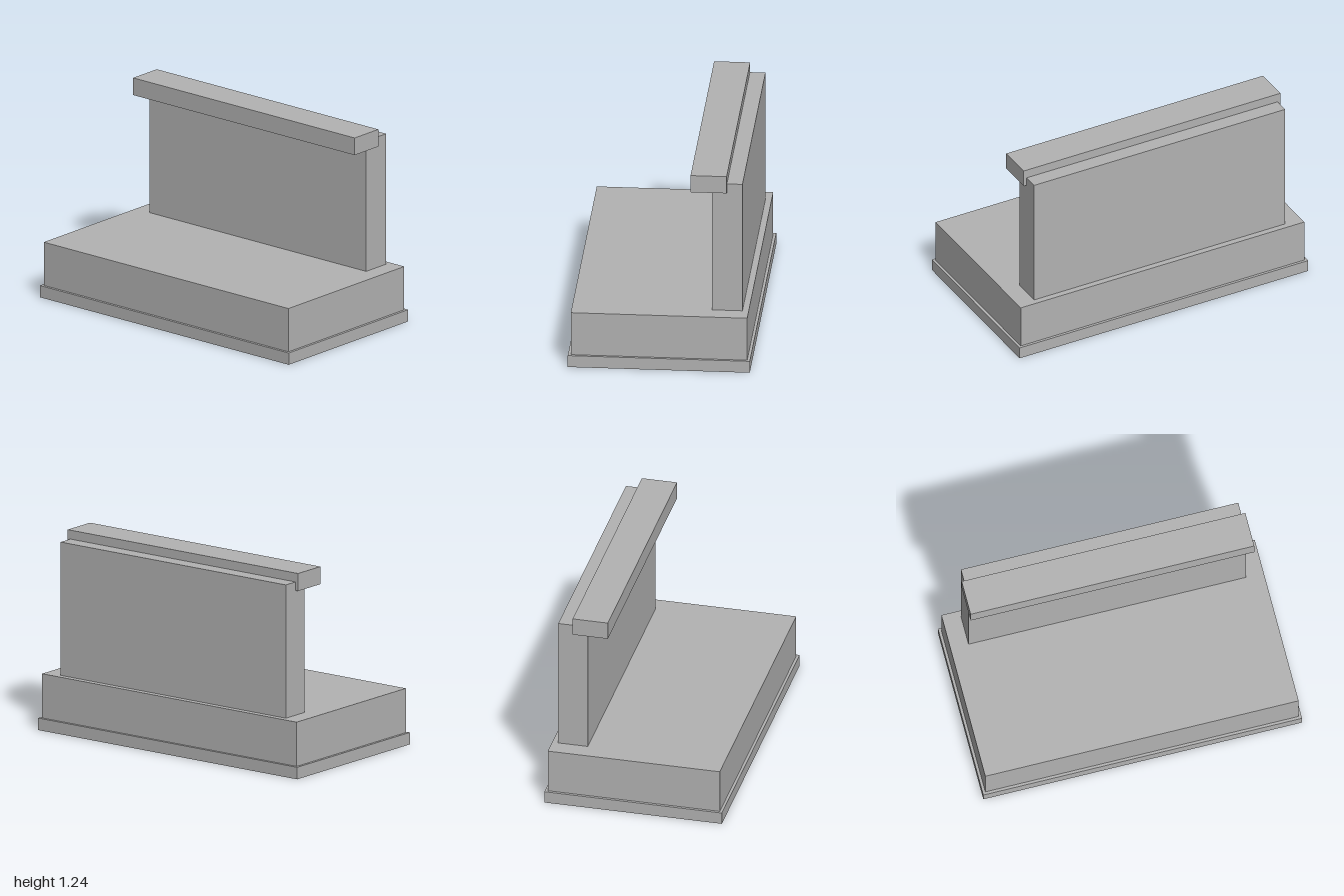
import * as THREE from 'three';

export function createModel() {
  const model = new THREE.Group();
  model.name = 'bench';

  const grey = new THREE.MeshStandardMaterial({ color: 0xb2b2b2 });
  grey.name = 'plain grey';

  // Box given by its half width and its y and z ranges, centred on x = 0
  function addBlock(name, halfWidth, [y0, y1], [z0, z1]) {
    const geometry = new THREE.BoxGeometry(halfWidth * 2, y1 - y0, z1 - z0);
    const mesh = new THREE.Mesh(geometry, grey);
    mesh.name = name;
    mesh.position.set(0, (y0 + y1) / 2, (z0 + z1) / 2);
    model.add(mesh);
  }

  // Plinth and seat block
  addBlock('plinth', 1, [0, 0.075], [-0.555, 0.555]);
  addBlock('seat', 0.983, [0.075, 0.352], [-0.538, 0.538]);

  // Upright back with a rail set into its front top edge
  addBlock('backrest', 0.87, [0.352, 1.187], [-0.5, -0.315]);
  addBlock('topRail', 0.89, [1.133, 1.243], [-0.405, -0.185]);

  return model;
}
